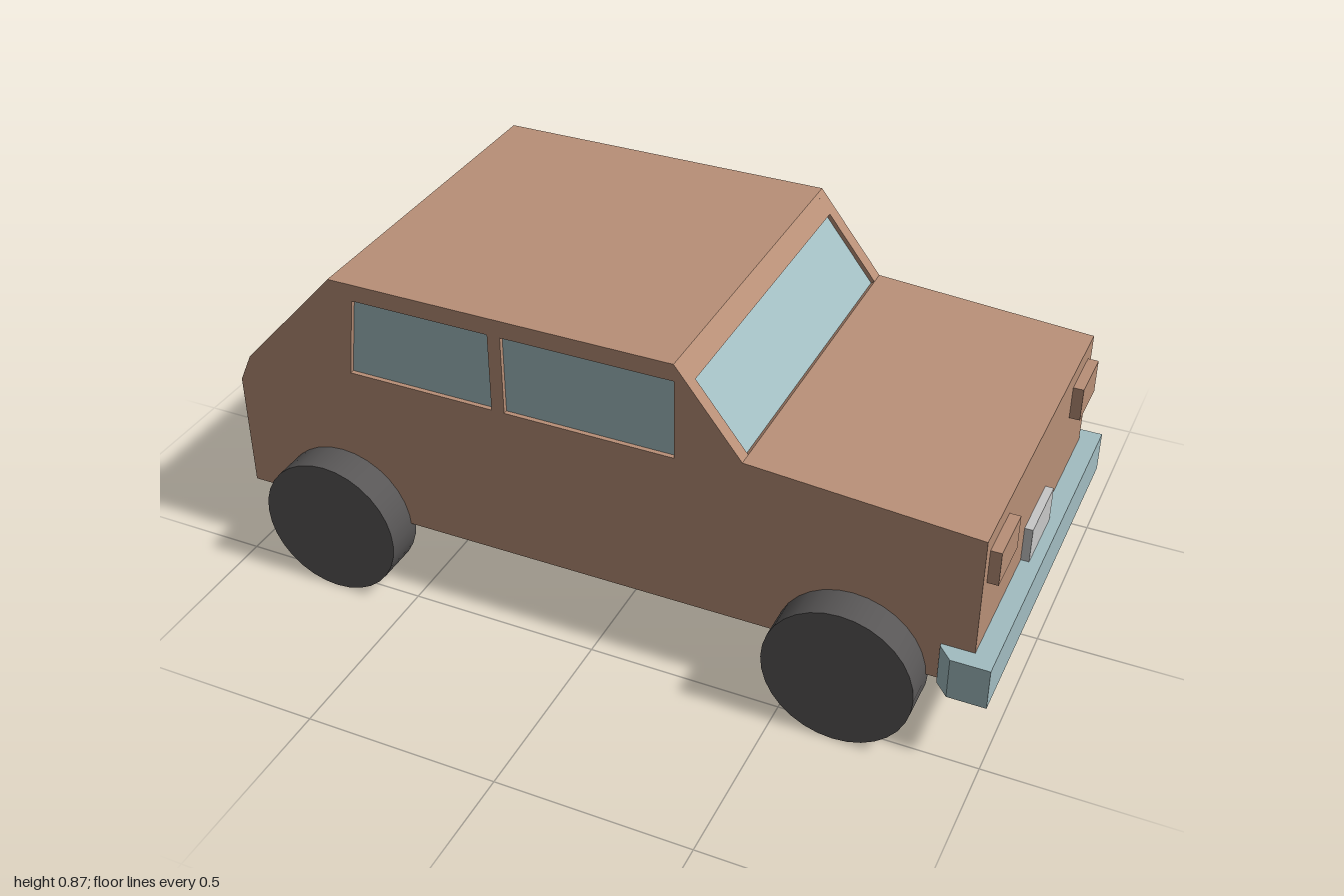
import * as THREE from 'three';

const paint = new THREE.MeshStandardMaterial({ color: 0xb88f77 });
paint.name = 'tan paint';
const glass = new THREE.MeshStandardMaterial({ color: 0xa2bdc1 });
glass.name = 'pale teal';
const rubber = new THREE.MeshStandardMaterial({ color: 0x585656 });
rubber.name = 'dark rubber';
const white = new THREE.MeshStandardMaterial({ color: 0xc8c8c8 });
white.name = 'light grey';

const Z_LEFT = 0.457, Z_RIGHT = -0.47;    // outer flanks
const Z_IN_LEFT = 0.422, Z_IN_RIGHT = -0.432; // inner edges of the pillars

const shapeOf = (pts) => new THREE.Shape(pts.map(([x, y]) => new THREE.Vector2(x, y)));

export function createModel() {
  const car = new THREE.Group();
  car.name = 'car';

  const add = (name, geometry, material) => {
    const mesh = new THREE.Mesh(geometry, material);
    mesh.name = name;
    car.add(mesh);
    return mesh;
  };
  // Side-view outline extruded from z0 to z1
  const slab = (name, pts, z0, z1, material, holes = []) => {
    const shape = shapeOf(pts);
    holes.forEach((h) => shape.holes.push(new THREE.Path(h.map(([x, y]) => new THREE.Vector2(x, y)))));
    const geo = new THREE.ExtrudeGeometry(shape, { depth: z1 - z0, bevelEnabled: false });
    geo.translate(0, 0, z0);
    return add(name, geo, material);
  };
  const box = (name, x0, x1, y0, y1, z0, z1, material) => {
    const mesh = add(name, new THREE.BoxGeometry(x1 - x0, y1 - y0, z1 - z0), material);
    mesh.position.set((x0 + x1) / 2, (y0 + y1) / 2, (z0 + z1) / 2);
    return mesh;
  };

  // Body: a centre section with sunken front and rear window beds
  slab('bodyCentre', [
    [-1, 0.197], [0.95, 0.197], [0.95, 0.615], [0.375, 0.655],
    [0.363, 0.646], [0.231, 0.815], [0.243, 0.824], [0.205, 0.873],
    [-0.7, 0.873], [-0.715, 0.857], [-0.704, 0.847],
    [-0.929, 0.602], [-0.94, 0.612], [-0.965, 0.585], [-1, 0.51],
  ], Z_IN_RIGHT, Z_IN_LEFT, paint);

  // Flanks with side window openings
  const flank = [
    [-1, 0.197], [0.95, 0.197], [0.95, 0.615], [0.375, 0.655],
    [0.205, 0.873], [-0.7, 0.873], [-0.965, 0.585], [-1, 0.51],
  ];
  const rearWindow = [[-0.663, 0.618], [-0.27, 0.618], [-0.27, 0.828], [-0.637, 0.828]];
  const frontWindow = [[-0.236, 0.618], [0.206, 0.618], [0.206, 0.828], [-0.236, 0.828]];
  const windows = [rearWindow, frontWindow];
  slab('leftFlank', flank, Z_IN_LEFT, Z_LEFT, paint, windows);
  slab('rightFlank', flank, Z_RIGHT, Z_IN_RIGHT, paint, windows);

  // Recessed side glass
  ['rear', 'front'].forEach((place, i) => {
    slab(place + 'LeftWindow', windows[i], Z_LEFT - 0.02, Z_LEFT - 0.012, glass);
    slab(place + 'RightWindow', windows[i], Z_RIGHT + 0.012, Z_RIGHT + 0.02, glass);
  });

  // Windscreen and back window plates
  slab('windscreen', [[0.363, 0.646], [0.366, 0.649], [0.234, 0.818], [0.231, 0.815]],
    Z_IN_RIGHT, Z_IN_LEFT, glass);
  slab('backWindow', [[-0.704, 0.847], [-0.707, 0.85], [-0.932, 0.605], [-0.929, 0.602]],
    Z_IN_RIGHT, Z_IN_LEFT, glass);

  // Wheels
  for (const [place, x] of [['rear', -0.715], ['front', 0.655]]) {
    for (const [side, s] of [['Left', 1], ['Right', -1]]) {
      const geo = new THREE.CylinderGeometry(0.187, 0.187, 0.11, 32);
      geo.rotateX(Math.PI / 2);
      add(place + side + 'Wheel', geo, rubber).position.set(x, 0.187, s * 0.492);
    }
  }

  // Bumper: a plan outline wrapping round the nose
  const bumper = new THREE.ExtrudeGeometry(shapeOf([
    [1, -0.503], [1, 0.513], [0.905, 0.513], [0.87, 0.475], [0.87, 0.465],
    [0.945, 0.465], [0.945, -0.452], [0.87, -0.452], [0.87, -0.465], [0.905, -0.503],
  ]), { depth: 0.11, bevelEnabled: false });
  bumper.rotateX(-Math.PI / 2);
  add('bumper', bumper, glass).position.y = 0.19;

  // Nose details
  box('leftHeadlight', 0.945, 0.977, 0.48, 0.57, 0.276, 0.425, paint);
  box('rightHeadlight', 0.945, 0.977, 0.48, 0.57, -0.431, -0.284, paint);
  box('numberPlate', 0.945, 0.971, 0.295, 0.395, -0.097, 0.088, white);

  // Shallow panel under the floor
  box('floorPanel', -0.23, 0.23, 0.192, 0.2, 0.29, 0.4, paint);

  return car;
}
